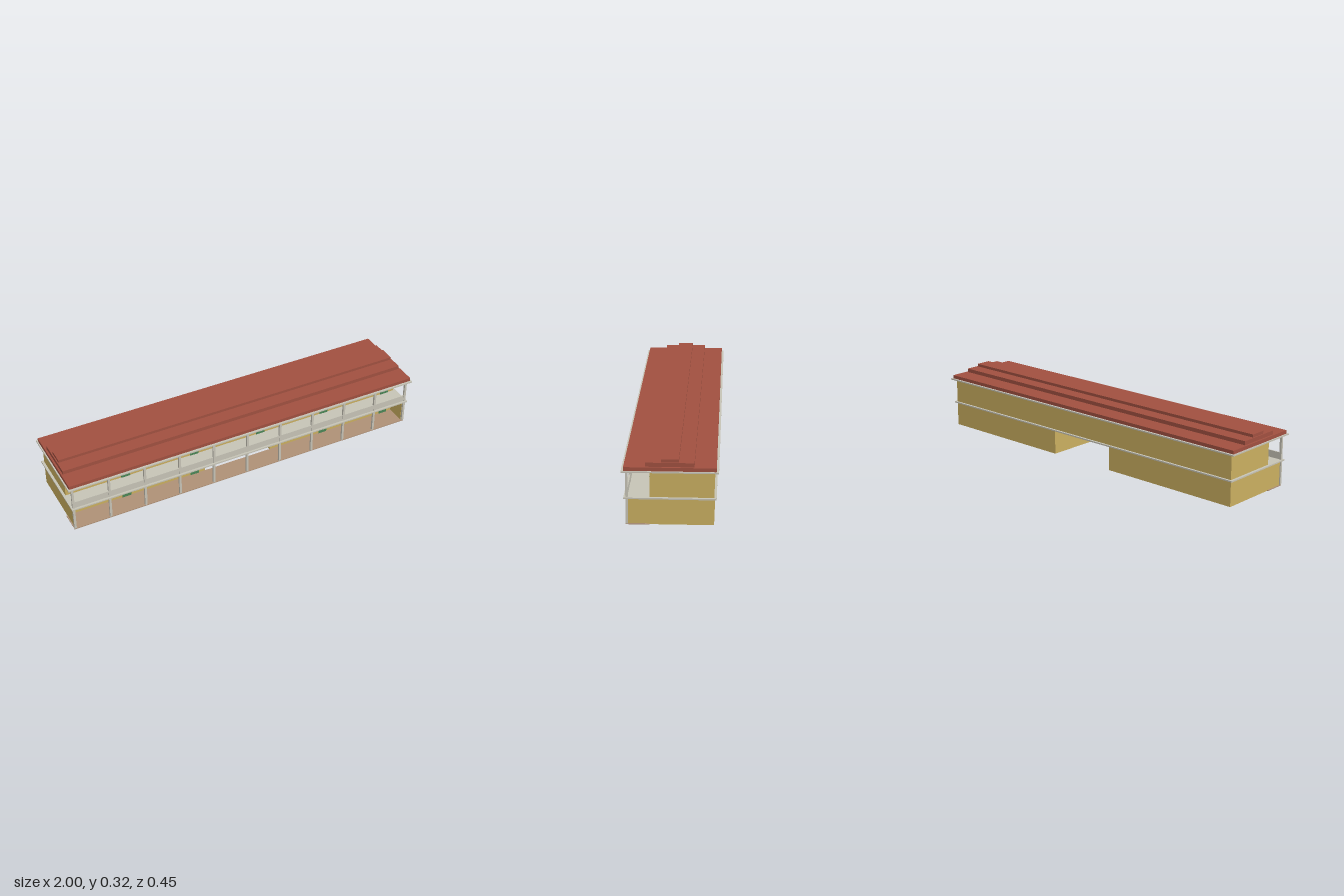
import * as THREE from 'three';

const mat = (name, color) => {
  const m = new THREE.MeshStandardMaterial({ color });
  m.name = name;
  return m;
};

export function createModel() {
  const group = new THREE.Group();
  const wall = mat('ochre wall', 0xc9ae60);
  const concrete = mat('pale concrete', 0xc6c3b6);
  const roof = mat('red roof', 0xa05040);
  const door = mat('green door', 0x4a8555);
  const glass = mat('dark window', 0x4b5956);
  const paving = mat('veranda paving', 0xae9076);

  // Box given by its extents on each axis
  const box = (name, m, x0, x1, y0, y1, z0, z1) => {
    const mesh = new THREE.Mesh(new THREE.BoxGeometry(x1 - x0, y1 - y0, z1 - z0), m);
    mesh.position.set((x0 + x1) / 2, (y0 + y1) / 2, (z0 + z1) / 2);
    mesh.name = name;
    group.add(mesh);
  };

  const bay = 0.195, end = 0.975, back = -0.205, front = 0.095;

  // Ground floor: two wings with an open passage between, and veranda end walls
  for (const s of [-1, 1]) {
    const span = (a, b) => (s > 0 ? [a, b] : [-b, -a]);
    box('groundFloorWing', wall, ...span(bay, end), 0, 0.13, back, front);
    box('verandaEndWall', wall, ...span(end - 0.008, end), 0.004, 0.13, front, 0.196);
  }
  box('verandaFloor', paving, -0.981, 0.981, 0, 0.004, front, 0.207);

  // Upper floor
  box('floorSlab', concrete, -0.988, 0.988, 0.13, 0.137, -0.216, 0.216);
  box('upperFloor', wall, -end, end, 0.137, 0.265, back, front);
  box('balconyParapet', concrete, -0.976, 0.976, 0.137, 0.173, 0.198, 0.205);

  // Columns along the veranda on both floors
  for (let i = -5; i <= 5; i++) {
    const x = i * bay;
    box('lowerColumn', concrete, x - 0.006, x + 0.006, 0.004, 0.13, 0.196, 0.207);
    box('upperColumn', concrete, x - 0.006, x + 0.006, 0.137, 0.256, 0.196, 0.207);
  }

  // Each room spans two bays: two windows and a door
  for (let room = -2; room <= 2; room++) {
    for (const y of [0.004, 0.137]) {
      if (y < 0.1 && room === 0) continue; // open passage
      const c = room * bay * 2;
      const top = y + 0.086;
      box('window', glass, c - 0.157, c - 0.093, top - 0.046, top, front, front + 0.002);
      box('window', glass, c - 0.07, c - 0.012, top - 0.046, top, front, front + 0.002);
      box('door', door, c + 0.109, c + 0.158, y, top, front, front + 0.003);
    }
  }

  // Roof slab and stepped roof
  box('roofSlab', concrete, -1, 1, 0.265, 0.272, -0.226, 0.226);
  box('roofLowerTier', roof, -0.993, 0.993, 0.272, 0.29, -0.215, 0.215);
  box('roofMiddleTier', roof, -0.983, 0.983, 0.29, 0.31, -0.113, 0.113);
  box('roofRidge', roof, -0.977, 0.977, 0.31, 0.325, -0.041, 0.041);

  return group;
}
